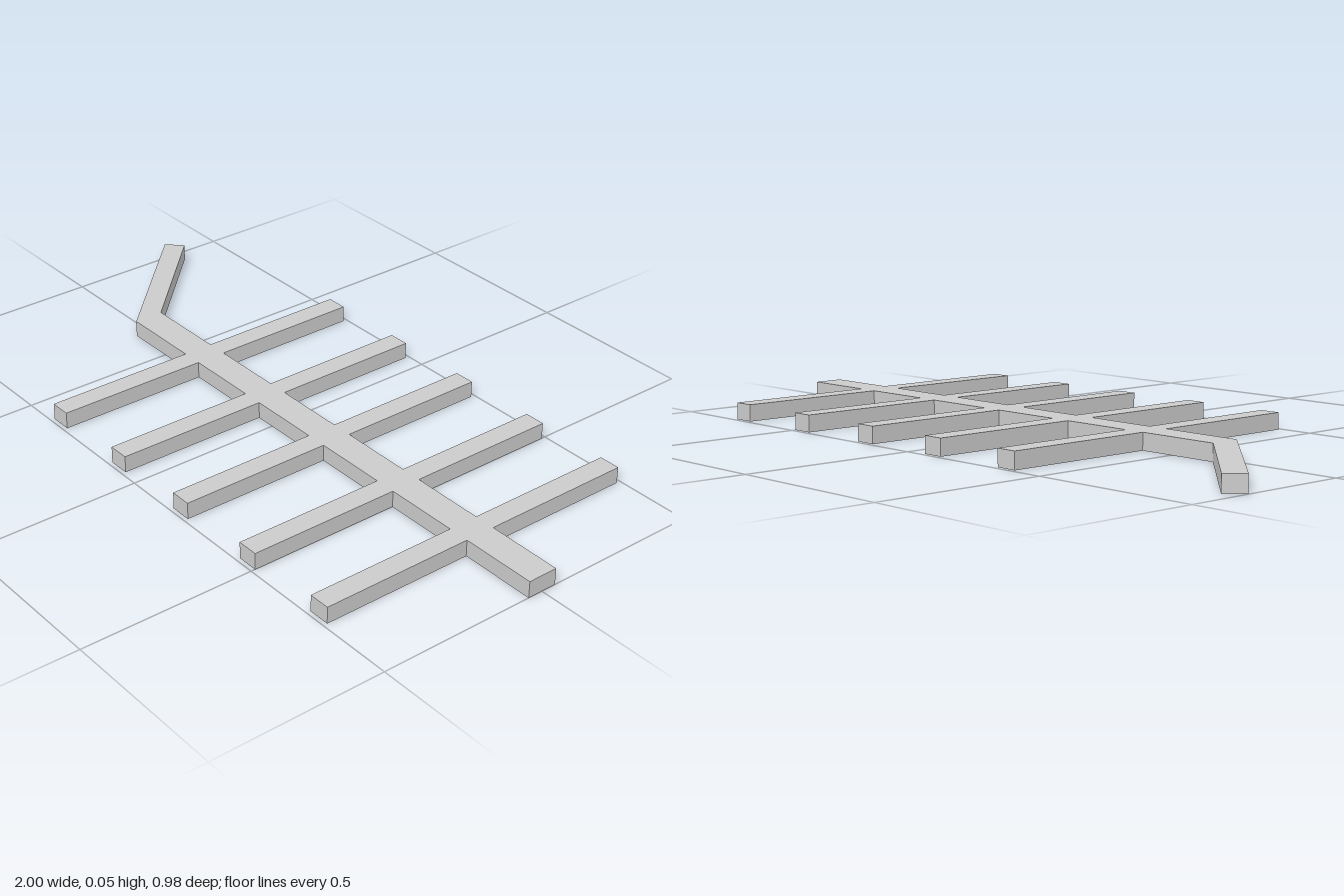
import * as THREE from 'three';

const THICKNESS = 0.048;
const SPINE = 0.044;      // half width of the spine
const REACH = 0.488;      // how far the ribs reach to each side
const RIB = 0.031;        // half width of a rib
const RIBS = [-0.368, -0.088, 0.19, 0.47, 0.748];
const BEND = -0.644;      // where the tail leaves the spine

export function createModel() {
  const group = new THREE.Group();
  group.name = 'ribbedFrame';

  // One outline, drawn counter-clockwise as seen from above (+y is the back)
  const points = [[BEND, -SPINE]];

  // Front edge with its ribs, left to right
  for (const x of RIBS) {
    points.push([x - RIB, -SPINE], [x - RIB, -REACH], [x + RIB, -REACH], [x + RIB, -SPINE]);
  }

  // Square end of the spine
  points.push([1, -SPINE], [1, SPINE]);

  // Back edge with its ribs, right to left
  for (const x of [...RIBS].reverse()) {
    points.push([x + RIB, SPINE], [x + RIB, REACH], [x - RIB, REACH], [x - RIB, SPINE]);
  }

  // Tail, slanting back at 45 degrees
  points.push([BEND, SPINE], [-0.956, 0.356], [-1, 0.312]);

  const shape = new THREE.Shape(points.map(([x, y]) => new THREE.Vector2(x, y)));
  const geometry = new THREE.ExtrudeGeometry(shape, { depth: THICKNESS, bevelEnabled: false });
  geometry.rotateX(-Math.PI / 2);

  const frame = new THREE.Mesh(
    geometry,
    new THREE.MeshStandardMaterial({ color: 0xcccccc, flatShading: true })
  );
  frame.name = 'spineWithRibsAndTail';
  group.add(frame);
  return group;
}
